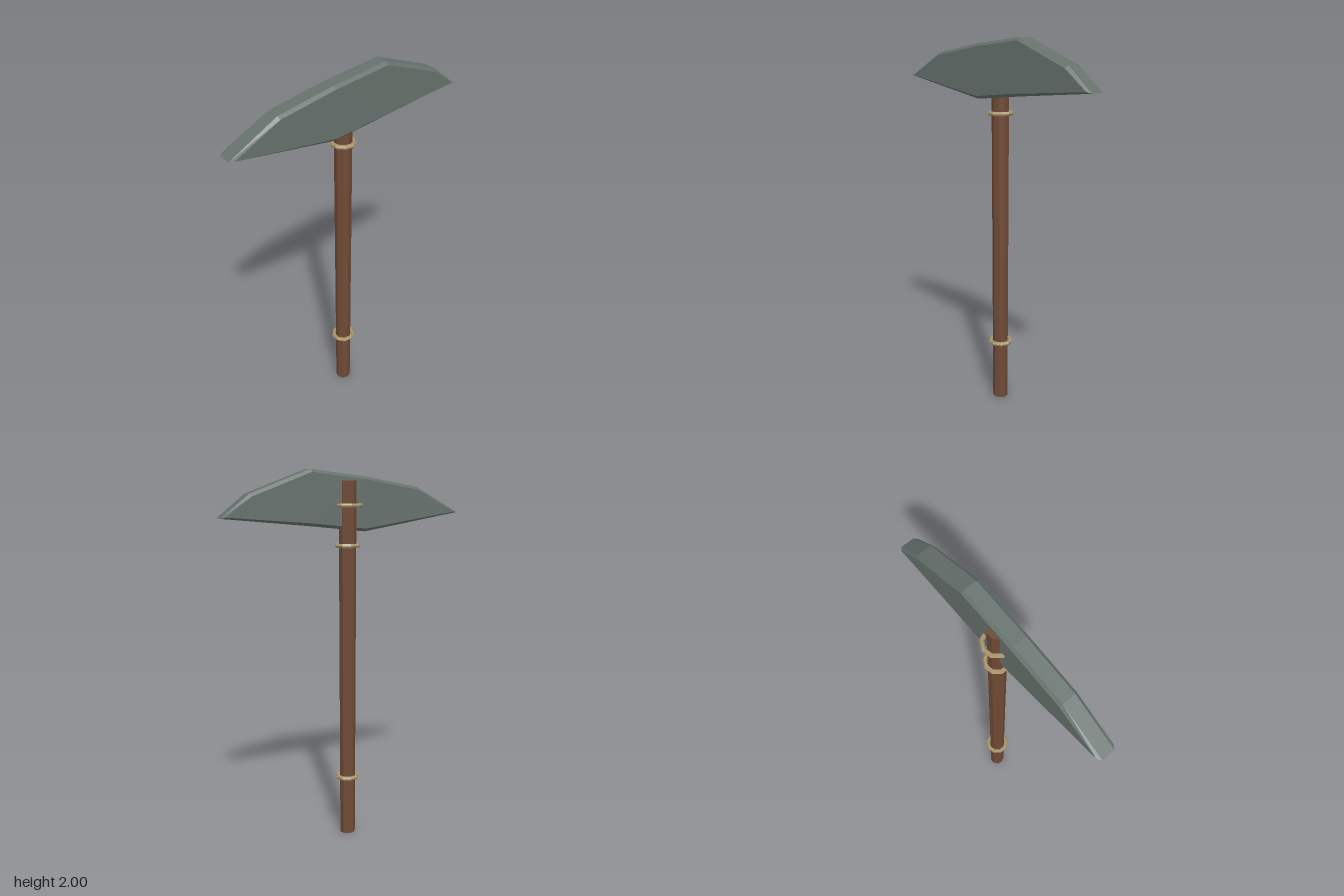
import * as THREE from 'three';

export function createModel() {
  const make = (name, color) => {
    const m = new THREE.MeshStandardMaterial({ color, flatShading: true });
    m.name = name;
    return m;
  };
  const stone = make('grey stone', 0x66716c);
  const wood = make('brown wood', 0x6f4a36);
  const rope = make('tan rope', 0xa8946c);

  const model = new THREE.Group();
  model.name = 'pickaxe';
  const add = (name, geometry, material, x, y, z) => {
    const mesh = new THREE.Mesh(geometry, material);
    mesh.name = name;
    mesh.position.set(x, y, z);
    model.add(mesh);
    return mesh;
  };

  // Slightly tapered wooden shaft
  add('handle', new THREE.CylinderGeometry(0.047, 0.042, 1.945, 9), wood, 0, 0.9725, 0);

  // Chipped stone blade with a narrow chamfer, set in front of the shaft
  const outline = [
    [-0.683, 1.777], [-0.1, 1.685], [0.21, 1.718], [0.683, 1.763],
    [0.535, 1.88], [0.21, 2.0], [-0.11, 1.965], [-0.42, 1.913],
  ].map(([x, y]) => new THREE.Vector2(x, y));
  const bevel = 0.015;
  const blade = new THREE.ExtrudeGeometry(new THREE.Shape(outline), {
    depth: 0.1 - 2 * bevel,
    bevelEnabled: true,
    bevelThickness: bevel,
    bevelSize: bevel,
    bevelOffset: -bevel,
    bevelSegments: 1,
  });
  add('stoneHead', blade, stone, 0, 0, -0.02 + bevel);

  // Rope bindings: two round the shaft, a wider one through the head
  const bindings = [
    ['lowerBinding', 0.335, 0.056],
    ['upperBinding', 1.615, 0.057],
    ['headBinding', 1.82, 0.069],
  ];
  for (const [name, y, radius] of bindings) {
    const ring = new THREE.TorusGeometry(radius, 0.012, 6, 9);
    ring.rotateX(-Math.PI / 2);
    add(name, ring, rope, 0, y, 0);
  }

  return model;
}
